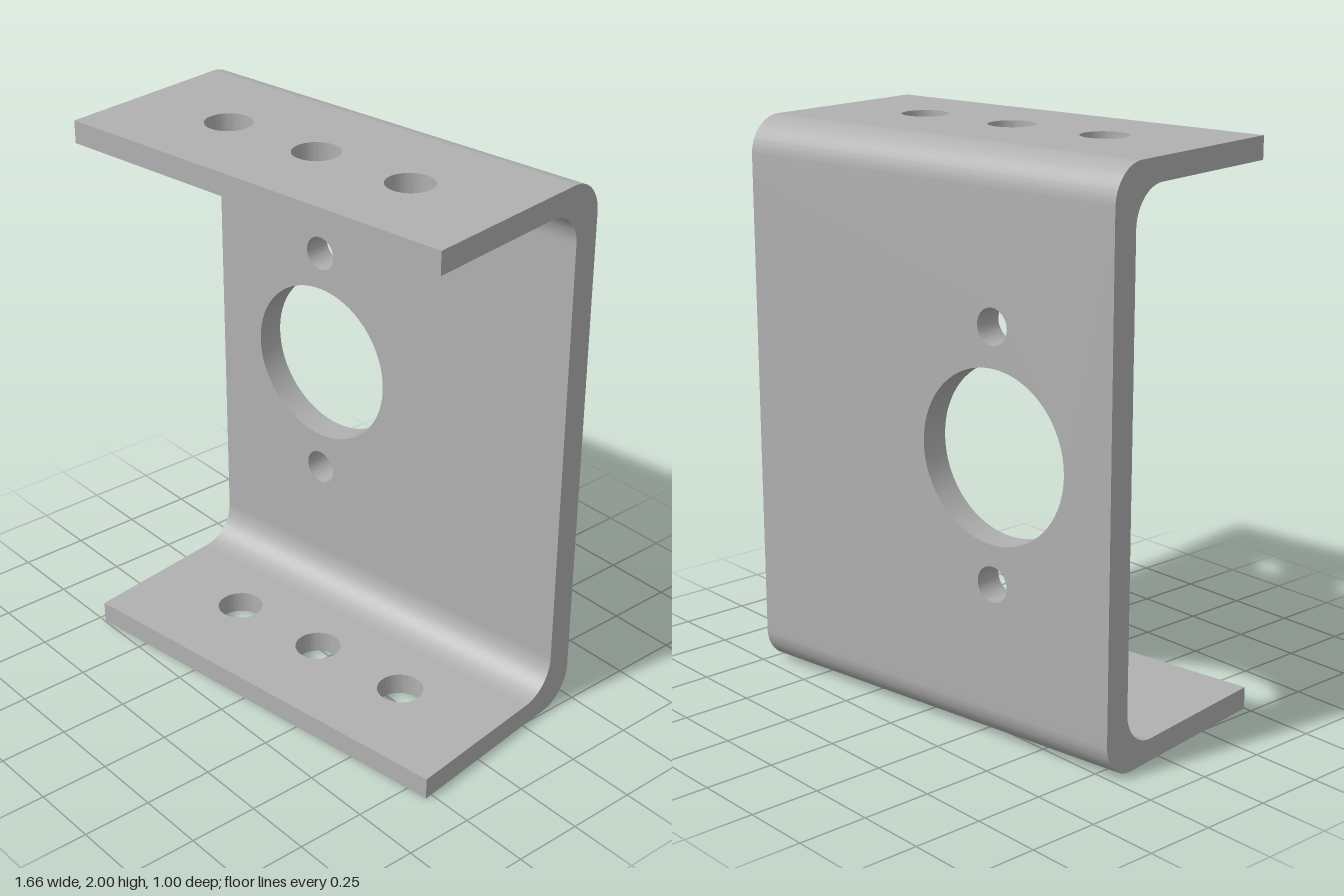
import * as THREE from 'three';
import { toCreasedNormals } from 'three/addons/utils/BufferGeometryUtils.js';

const LENGTH = 1.566, DEPTH = 0.783, HALF = 1; // HALF: half the height
const WEB = 0.105, FLANGE = 0.08;              // sheet thicknesses
const R_IN = 0.13, R_OUT = 0.13;               // bend radii
const BACK = -DEPTH / 2;
const BEND_Z = BACK + WEB + R_IN;              // where the bend meets the flange
const BEND_Y = HALF - FLANGE - R_IN;           // where the bend meets the web

// Extrudes a shape with crisp edges and smooth curves
function extrude(shape, depth) {
  const g = new THREE.ExtrudeGeometry(shape, { depth, bevelEnabled: false, curveSegments: 32 });
  return toCreasedNormals(g, 0.6);
}

// Flat rectangular plate with round holes [x, y, radius]
function plate(x0, y0, x1, y1, holes, depth) {
  const s = new THREE.Shape();
  s.moveTo(x0, y0).lineTo(x1, y0).lineTo(x1, y1).lineTo(x0, y1).closePath();
  for (const [x, y, r] of holes) {
    s.holes.push(new THREE.Path().absarc(x, y, r, 0, Math.PI * 2, true));
  }
  return extrude(s, depth);
}

export function createModel() {
  const steel = new THREE.MeshStandardMaterial({ color: 0xb0b0b0 });
  steel.name = 'grey steel';
  const model = new THREE.Group();
  model.name = 'channelBracket';
  model.position.y = HALF;
  model.rotation.y = 0.141;

  const add = (parent, name, geometry) => {
    const mesh = new THREE.Mesh(geometry, steel);
    mesh.name = name;
    parent.add(mesh);
  };

  // Back web with a large opening and two screw holes
  const web = plate(-LENGTH / 2, -BEND_Y, LENGTH / 2, BEND_Y,
    [[-0.3, 0, 0.297], [-0.3, 0.434, 0.062], [-0.3, -0.434, 0.062]], WEB);
  web.translate(0, 0, BACK);
  add(model, 'web', web);

  // Flange with a row of three holes
  const flange = plate(-LENGTH / 2, BEND_Z, LENGTH / 2, DEPTH / 2,
    [-0.391, 0, 0.391].map((x) => [x, 0.062, 0.082]), FLANGE);
  flange.rotateX(Math.PI / 2).translate(0, HALF, 0);

  // Rounded bend: profile in z and y, swept along the length
  const profile = new THREE.Shape();
  profile.moveTo(BEND_Z, HALF);
  profile.lineTo(BACK + R_OUT, HALF);
  profile.absarc(BACK + R_OUT, HALF - R_OUT, R_OUT, Math.PI / 2, Math.PI, false);
  profile.lineTo(BACK, BEND_Y);
  profile.lineTo(BACK + WEB, BEND_Y);
  profile.absarc(BEND_Z, BEND_Y, R_IN, Math.PI, Math.PI / 2, true);
  profile.closePath();
  const bend = extrude(profile, LENGTH);
  bend.rotateY(-Math.PI / 2).translate(LENGTH / 2, 0, 0);

  // The lower side is the upper one turned half round
  for (const [side, turn] of [['upper', 0], ['lower', Math.PI]]) {
    const group = new THREE.Group();
    group.name = side + 'Side';
    group.rotation.z = turn;
    add(group, side + 'Flange', flange);
    add(group, side + 'Bend', bend);
    model.add(group);
  }

  const root = new THREE.Group();
  root.name = 'bracket';
  root.add(model);
  return root;
}
